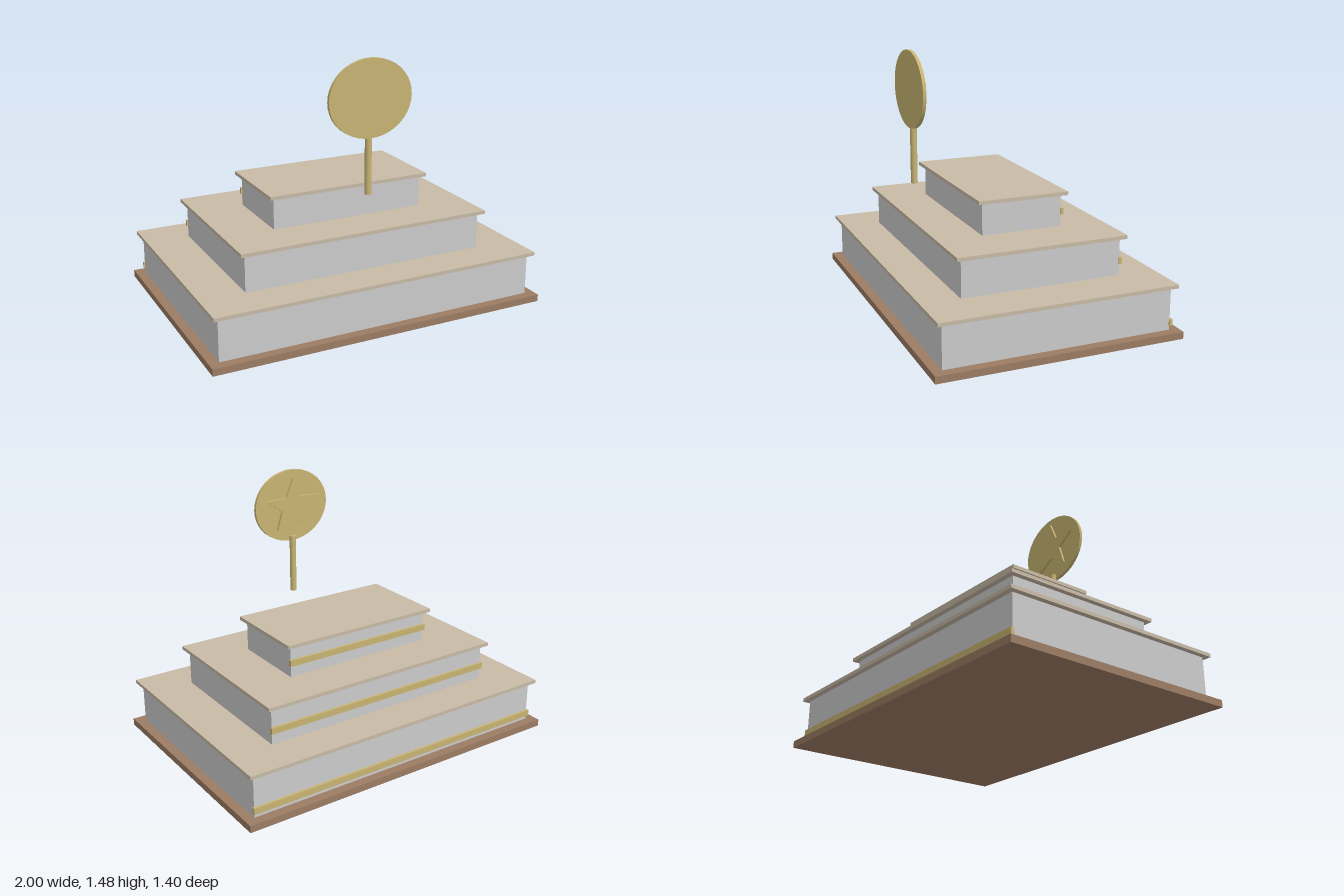
import * as THREE from 'three';

const mat = (color) => new THREE.MeshStandardMaterial({ color });

export function createModel() {
  const model = new THREE.Group();
  const stone = mat(0xcccccc), slab = mat(0xc8baa6), wood = mat(0x9c7c64), gold = mat(0xc8b472);

  const add = (name, geometry, material, x, y, z, parent = model) => {
    const mesh = new THREE.Mesh(geometry, material);
    mesh.name = name;
    mesh.position.set(x, y, z);
    parent.add(mesh);
    return mesh;
  };
  // Box given by half width, bottom, top, back and front
  const box = (name, hx, y0, y1, z0, z1, material, parent) =>
    add(name, new THREE.BoxGeometry(hx * 2, y1 - y0, z1 - z0), material,
      0, (y0 + y1) / 2, (z0 + z1) / 2, parent);

  // Base plinth
  box('base', 1, 0, 0.04, -0.7, 0.7, wood);

  // Three stepped tiers: body, overhanging slab, trim strip along the back
  const tiers = [
    { hx: 0.945, hz: 0.645, y0: 0.04, y1: 0.28, trim: 0.083 },
    { hx: 0.72, hz: 0.457, y0: 0.3, y1: 0.51, trim: 0.383 },
    { hx: 0.457, hz: 0.232, y0: 0.53, y1: 0.71, trim: 0.615 },
  ];
  tiers.forEach(({ hx, hz, y0, y1, trim }, i) => {
    const tier = new THREE.Group();
    tier.name = `tier${i + 1}`;
    model.add(tier);
    box('tierBody', hx, y0, y1, -hz, hz, stone, tier);
    box('tierSlab', hx + 0.03, y1, y1 + 0.02, -hz - 0.03, hz + 0.03, slab, tier);
    box('backTrim', hx + 0.007, trim - 0.018, trim + 0.018, -hz - 0.014, -hz + 0.004, gold, tier);
  });

  // Emblem: post, oval disc and a star on the back of the disc
  const emblem = new THREE.Group();
  emblem.name = 'emblem';
  model.add(emblem);
  add('post', new THREE.CylinderGeometry(0.019, 0.019, 0.345, 16), gold, 0, 0.9075, 0.455, emblem);

  const disc = add('disc', new THREE.CylinderGeometry(0.215, 0.215, 0.019, 40), gold, 0, 1.265, 0.47, emblem);
  disc.rotation.x = Math.PI / 2;
  disc.scale.x = 1.144;

  const points = Array.from({ length: 10 }, (_, i) => {
    const r = i % 2 ? 0.07 : 0.166;
    const a = Math.PI / 2 + (i * Math.PI) / 5;
    return new THREE.Vector2(r * 1.144 * Math.cos(a), r * Math.sin(a));
  });
  const starGeometry = new THREE.ExtrudeGeometry(new THREE.Shape(points), { depth: 0.015, bevelEnabled: false });
  add('star', starGeometry, gold, 0, 1.264, 0.439, emblem);

  return model;
}
